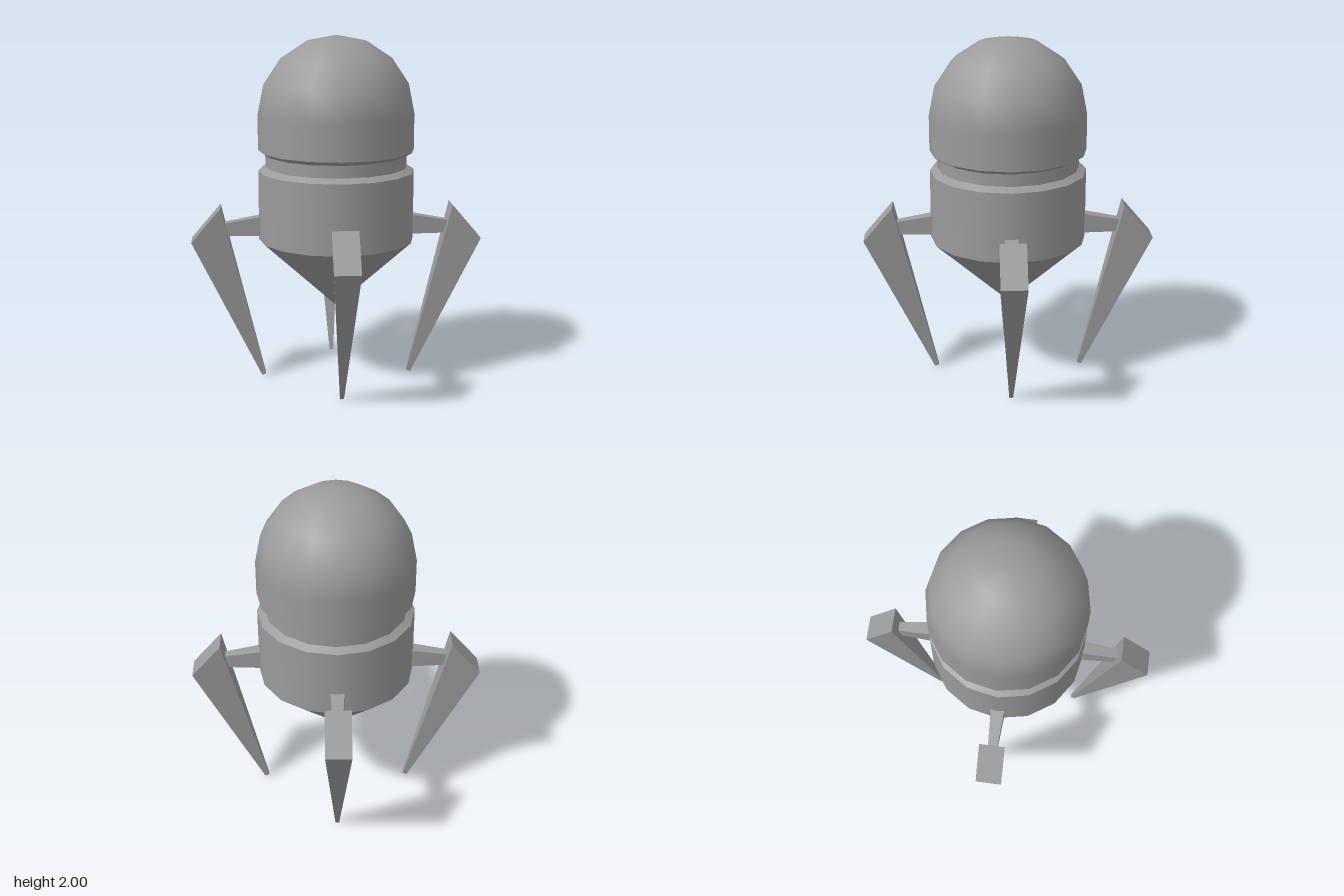
import * as THREE from 'three';

const SIDES = 16;
const color = 0x9b9b9b;
const smooth = new THREE.MeshStandardMaterial({ color });
const flat = new THREE.MeshStandardMaterial({ color, flatShading: true });

// Open round band between two heights
function band(name, bottomR, bottomY, topR, topY) {
  const geometry = new THREE.CylinderGeometry(topR, bottomR, topY - bottomY, SIDES, 1, true);
  const mesh = new THREE.Mesh(geometry, smooth);
  mesh.position.y = (topY + bottomY) / 2;
  mesh.name = name;
  return mesh;
}

// Box whose corners are placed by a rule: (outer, top) -> [x, y, halfWidth]
function taperedBox(name, rule) {
  const geometry = new THREE.BoxGeometry(2, 2, 2);
  const pos = geometry.attributes.position;
  for (let i = 0; i < pos.count; i++) {
    const [x, y, half] = rule(pos.getX(i) > 0, pos.getY(i) > 0);
    pos.setXYZ(i, x, y, pos.getZ(i) * half);
  }
  geometry.computeVertexNormals();
  const mesh = new THREE.Mesh(geometry, flat);
  mesh.name = name;
  return mesh;
}

function createLeg() {
  const leg = new THREE.Group();
  // Short arm joining the leg to the hull
  leg.add(taperedBox('strut', (outer, top) =>
    outer ? [top ? 0.65 : 0.635, top ? 0.927 : 0.853, 0.027]
          : [0.4, top ? 0.972 : 0.853, 0.041]));
  // Long spike, wide at the slanted top and narrow at the foot
  leg.add(taperedBox('spike', (outer, top) =>
    top ? (outer ? [0.837, 0.827, 0.073] : [0.668, 1.025, 0.073])
        : (outer ? [0.44, 0, 0.011] : [0.417, 0.01, 0.011])));
  return leg;
}

export function createModel() {
  const model = new THREE.Group();
  model.name = 'pod';

  const R = 0.448, neck = 0.407, shoulder = 2 - R;

  model.add(
    band('lowerCone', 0, 0.418, R, 0.828),
    band('hull', R, 0.828, R, 1.23),
    band('hullBevel', R, 1.23, neck, 1.255),
    band('neck', neck, 1.255, neck, 1.325),
    band('domeBevel', neck, 1.325, R, 1.35),
    band('domeSkirt', R, 1.35, R, shoulder)
  );

  // Rounded cap on the skirt
  const dome = new THREE.Mesh(
    new THREE.SphereGeometry(R, SIDES, 4, 0, Math.PI * 2, 0, Math.PI / 2), smooth);
  dome.position.y = shoulder;
  dome.name = 'dome';
  model.add(dome);

  // Four legs around the hull
  ['leftLeg', 'backLeg', 'rightLeg', 'frontLeg'].forEach((name, i) => {
    const leg = createLeg();
    leg.name = name;
    leg.rotation.y = i * Math.PI / 2;
    model.add(leg);
  });

  return model;
}
